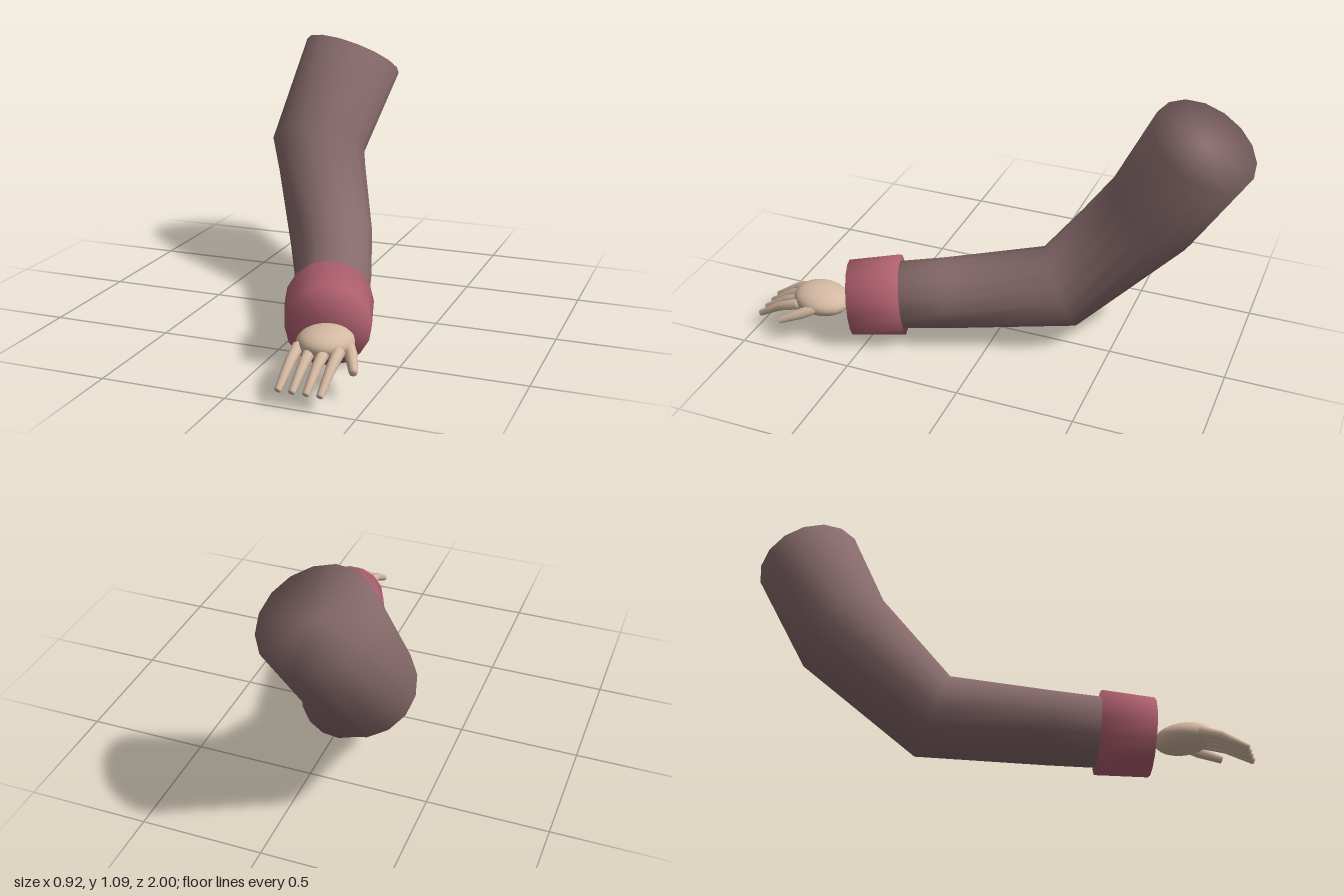
import * as THREE from 'three';

// Smooth closed loft: circular rings [x, y, z, radius] mitred along a path
function loft(rings, sides) {
  const pts = rings.map(([x, y, z]) => new THREE.Vector3(x, y, z));
  const last = pts.length - 1;
  const pos = [], index = [];
  const step = (i) => pts[i + 1].clone().sub(pts[i]).normalize();
  pts.forEach((p, i) => {
    const t = step(Math.min(i, last - 1)).add(step(Math.max(i - 1, 0))).normalize();
    const v = t.clone().cross(new THREE.Vector3(1, 0, 0)).normalize();
    const u = v.clone().cross(t);
    for (let j = 0; j < sides; j++) {
      const a = (j / sides) * Math.PI * 2;
      const q = p.clone()
        .addScaledVector(u, Math.cos(a) * rings[i][3])
        .addScaledVector(v, Math.sin(a) * rings[i][3]);
      pos.push(q.x, q.y, q.z);
    }
  });
  const start = pos.length / 3, end = start + 1;
  pos.push(...pts[0].toArray(), ...pts[last].toArray());
  for (let j = 0; j < sides; j++) {
    const k = (j + 1) % sides;
    for (let i = 0; i < last; i++) {
      const a = i * sides + j, b = i * sides + k;
      index.push(a, b, a + sides, b, b + sides, a + sides);
    }
    index.push(start, k, j, end, last * sides + j, last * sides + k);
  }
  const g = new THREE.BufferGeometry();
  g.setAttribute('position', new THREE.Float32BufferAttribute(pos, 3));
  g.setIndex(index);
  g.computeVertexNormals();
  return g;
}

export function createModel() {
  const sleeveMat = new THREE.MeshStandardMaterial({ color: 0x876a6b });
  sleeveMat.name = 'mauve brown cloth';
  const cuffMat = new THREE.MeshStandardMaterial({ color: 0xb06070 });
  cuffMat.name = 'rose cloth';
  const skinMat = new THREE.MeshStandardMaterial({ color: 0xd4b9a2 });
  skinMat.name = 'skin';

  const model = new THREE.Group();
  model.name = 'arm';
  const add = (name, geometry, material, parent = model) => {
    const mesh = new THREE.Mesh(geometry, material);
    mesh.name = name;
    parent.add(mesh);
    return mesh;
  };

  // Sleeve from shoulder through the bent elbow to the wrist
  add('sleeve', loft([
    [-0.16, 0.973, -0.80, 0.23],
    [-0.25, 0.58, -0.585, 0.215],
    [-0.06, 0.24, -0.25, 0.183],
    [0.115, 0.205, 0.195, 0.155],
    [0.19, 0.18, 0.44, 0.145],
  ], 16), sleeveMat);

  // Cuff: short, slightly tapering band
  add('cuff', loft([
    [0.17, 0.183, 0.387, 0.176],
    [0.245, 0.165, 0.595, 0.165],
  ], 16), cuffMat);

  // Hand
  const hand = new THREE.Group();
  hand.name = 'hand';
  model.add(hand);
  const palm = add('palm', new THREE.SphereGeometry(1, 20, 14), skinMat, hand);
  palm.scale.set(0.107, 0.06, 0.125);
  palm.position.set(0.283, 0.157, 0.722);
  palm.rotation.x = -0.08;

  // Four fingers, drooping towards the tips
  for (let i = 0; i < 4; i++) {
    const x = 0.206 + i * 0.053;
    add('finger' + (i + 1), loft([
      [x, 0.155, 0.80, 0.024],
      [x, 0.125, 0.885, 0.021],
      [x - 0.002, 0.06, 0.99, 0.014],
    ], 8), skinMat, hand);
  }

  // Thumb
  add('thumb', loft([
    [0.365, 0.155, 0.71, 0.024],
    [0.398, 0.135, 0.765, 0.024],
    [0.438, 0.106, 0.852, 0.016],
  ], 8), skinMat, hand);

  return model;
}
